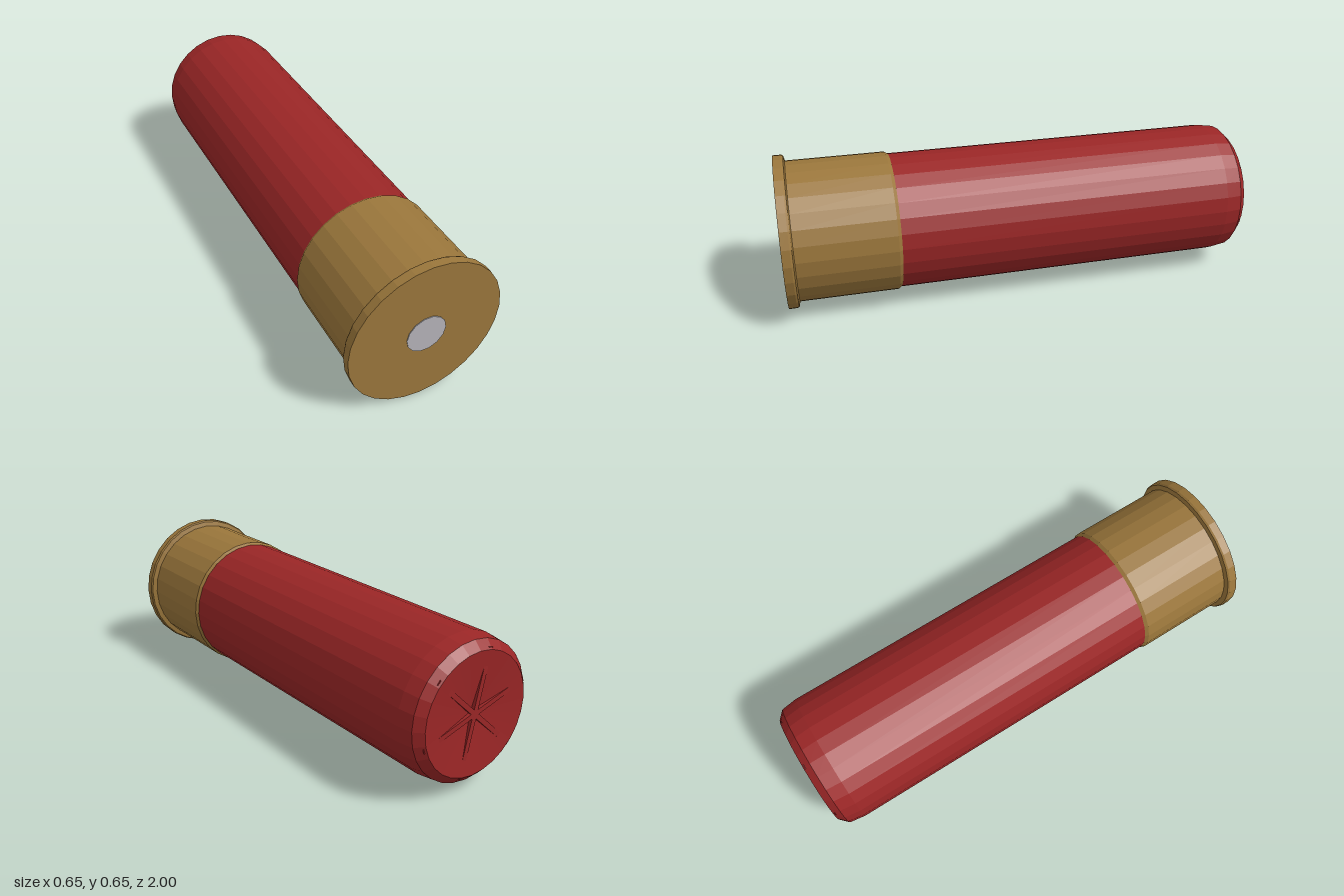
import * as THREE from 'three';

const AXIS_Y = 0.324;
const SIDES = 28;

const paint = (name, color, flatShading = true) => {
  const m = new THREE.MeshStandardMaterial({ color, flatShading });
  m.name = name;
  return m;
};

// Turns a profile of [radius, z] points around the long axis
function turned(name, profile, material, sides = SIDES) {
  const points = profile.map(([r, z]) => new THREE.Vector2(r, z));
  const geometry = new THREE.LatheGeometry(points, sides, Math.PI / 2);
  geometry.rotateX(Math.PI / 2);
  const mesh = new THREE.Mesh(geometry, material);
  mesh.name = name;
  return mesh;
}

export function createModel() {
  const model = new THREE.Group();
  model.name = 'cartridge';
  const red = paint('red plastic', 0x9a2626);
  const brass = paint('brass', 0x9a763b);
  const steel = paint('primer grey', 0xb4b2b8);

  const body = new THREE.Group();
  body.position.y = AXIS_Y;
  model.add(body);

  // Tube with a rolled, slightly dished end
  body.add(turned('hull', [
    [0, -0.977], [0.245, -1], [0.278, -0.968], [0.288, -0.9], [0.288, 0.56],
  ], red));

  // Metal cup with a wider rim at the base
  body.add(turned('brassHead', [
    [0.287, 0.525], [0.297, 0.54], [0.297, 0.95], [0.318, 0.955],
    [0.323, 0.963], [0.323, 0.997], [0, 0.997],
  ], brass));

  // Small button in the middle of the base
  body.add(turned('primer', [[0.083, 0.985], [0.083, 1], [0, 1]], steel, 14));

  // Six folds of the star crimp
  const crimp = new THREE.Group();
  crimp.name = 'crimpFolds';
  const foldShape = new THREE.BoxGeometry(0.253, 0.02, 0.03).translate(0.1265, 0, -0.979);
  for (let i = 0; i < 6; i++) {
    const fold = new THREE.Mesh(foldShape, red);
    fold.name = 'crimpFold';
    fold.rotation.z = THREE.MathUtils.degToRad(42.5 + i * 60);
    crimp.add(fold);
  }
  body.add(crimp);

  return model;
}
